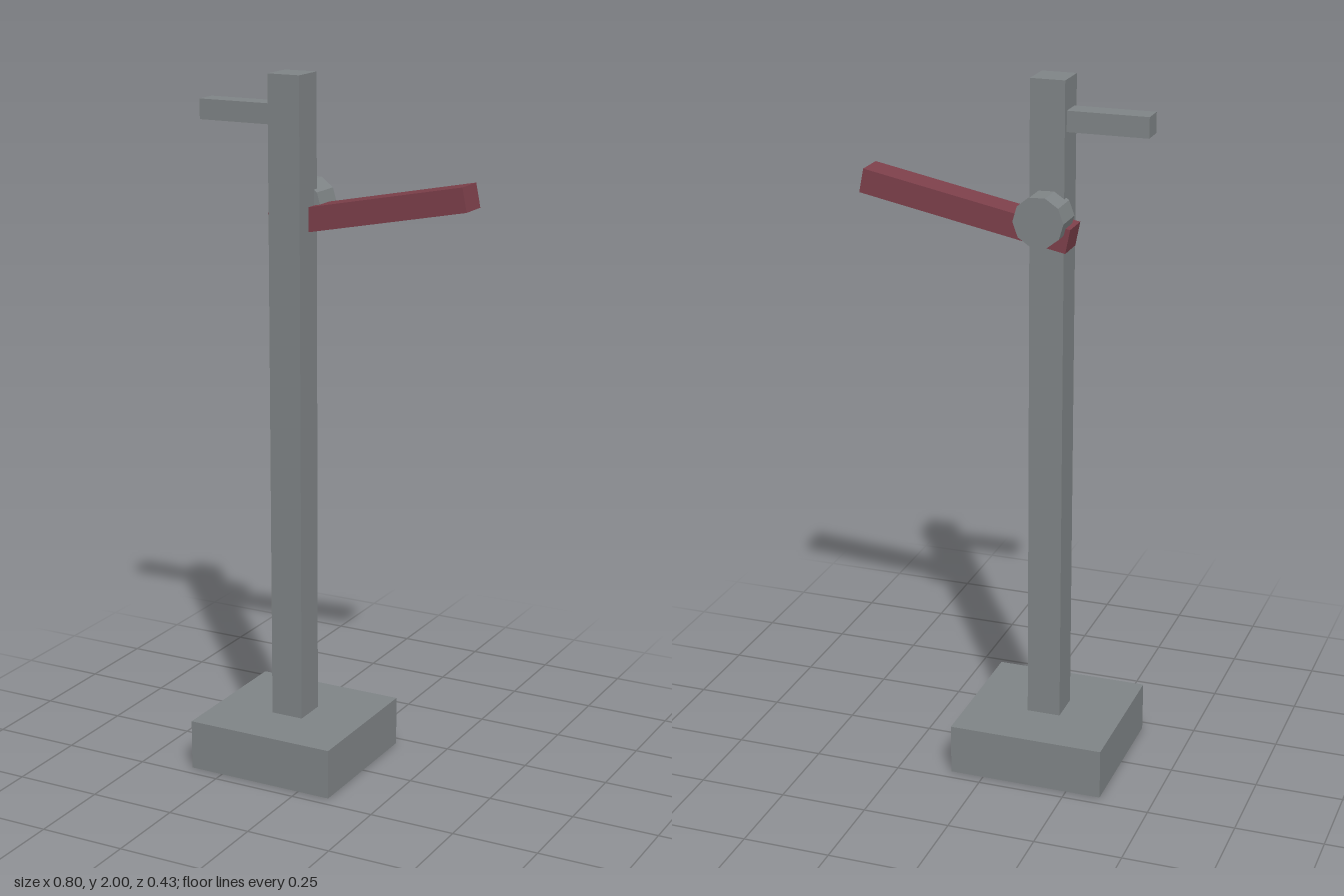
import * as THREE from 'three';

export function createModel() {
  const model = new THREE.Group();
  model.name = 'signalPost';

  const grey = new THREE.MeshStandardMaterial({ color: 0x808587 });
  grey.name = 'grey metal';
  const red = new THREE.MeshStandardMaterial({ color: 0x7d404b });
  red.name = 'dull red';

  const add = (name, geometry, material, x, y, z) => {
    const mesh = new THREE.Mesh(geometry, material);
    mesh.name = name;
    mesh.position.set(x, y, z);
    model.add(mesh);
    return mesh;
  };
  // Box given by its lowest and highest corners
  const addBox = (name, [x0, y0, z0], [x1, y1, z1]) =>
    add(name, new THREE.BoxGeometry(x1 - x0, y1 - y0, z1 - z0), grey,
      (x0 + x1) / 2, (y0 + y1) / 2, (z0 + z1) / 2);

  addBox('base', [-0.35, 0, -0.217], [0.097, 0.145, 0.215]);
  addBox('post', [-0.175, 0.145, -0.05], [-0.078, 2, 0.049]);
  addBox('sideBracket', [-0.4, 1.86, -0.034], [-0.175, 1.917, 0.032]);

  // Tilted arm, running past the back of the post
  const arm = add('arm', new THREE.BoxGeometry(0.6, 0.068, 0.088), red, 0.096, 1.636, -0.0445);
  arm.rotation.z = 0.196;

  // Ten-sided pivot hub behind the post, faceted rim
  const hub = new THREE.CylinderGeometry(0.071, 0.071, 0.094, 10)
    .rotateX(Math.PI / 2)
    .rotateZ(THREE.MathUtils.degToRad(16))
    .toNonIndexed();
  hub.computeVertexNormals();
  add('pivotHub', hub, grey, -0.1275, 1.633, -0.08);

  return model;
}
